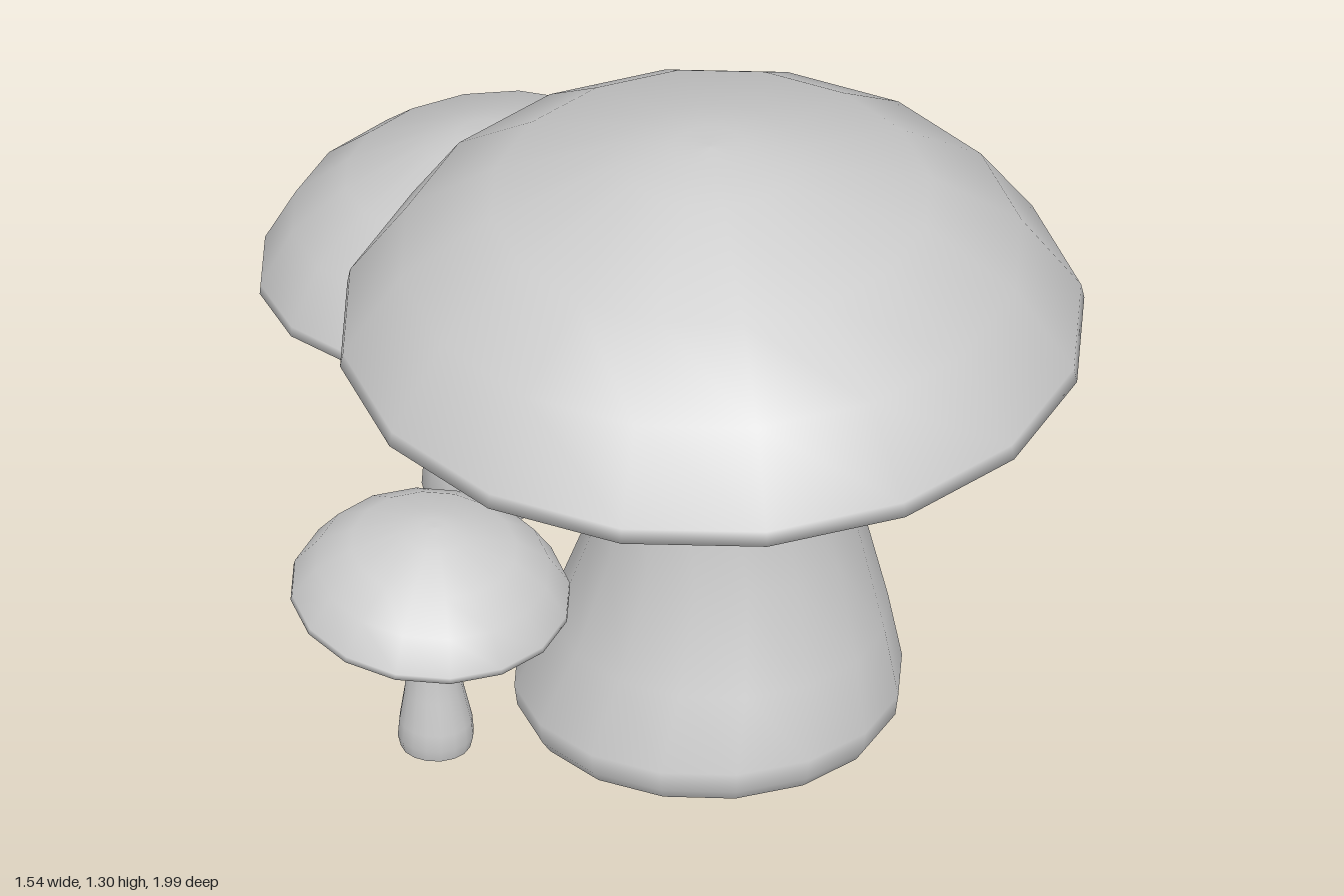
import * as THREE from 'three';

const SIDES = 16;

// Cap profile for a cap of radius 1, from the underside centre over the rim to the crown
const CAP = [
  [0, -0.125], [0.4, -0.115], [0.66, -0.1], [0.81, -0.076], [0.93, -0.042], [1, 0],
  [0.992, 0.042], [0.835, 0.27], [0.59, 0.44], [0.24, 0.572], [0.1, 0.598], [0, 0.604],
];

// Each stem ring is [height, radius, centre x, centre z];
// slopeX and slopeZ tell how much the cap's rim rises along x and z
const MUSHROOMS = [
  {
    name: 'largeMushroom', cap: [-0.03, 0.855, 0.25], radius: 0.745, slopeX: 0.04, slopeZ: -0.018,
    stem: [
      [0, 0.365, -0.05, 0.255], [0.025, 0.382, -0.05, 0.255], [0.07, 0.388, -0.05, 0.255],
      [0.2, 0.335, -0.015, 0.26], [0.38, 0.272, 0.022, 0.25],
      [0.6, 0.235, 0.005, 0.237], [0.8, 0.235, -0.028, 0.25],
    ],
  },
  {
    name: 'mediumMushroom', cap: [0.295, 0.57, -0.525], radius: 0.475, slopeX: 0.035, slopeZ: 0.105,
    stem: [
      [0, 0.118, 0.287, -0.545], [0.04, 0.127, 0.287, -0.545], [0.1, 0.123, 0.287, -0.545],
      [0.2, 0.106, 0.288, -0.543], [0.33, 0.085, 0.292, -0.545], [0.55, 0.074, 0.295, -0.545],
    ],
  },
  {
    name: 'smallMushroom', cap: [-0.495, 0.346, -0.1], radius: 0.28, slopeX: 0.07, slopeZ: -0.12,
    stem: [
      [0, 0.07, -0.497, -0.085], [0.025, 0.076, -0.497, -0.085], [0.06, 0.073, -0.497, -0.085],
      [0.13, 0.06, -0.502, -0.085], [0.2, 0.05, -0.505, -0.088], [0.33, 0.046, -0.505, -0.09],
    ],
  },
  {
    name: 'tinyMushroom', cap: [-0.267, 0.226, -0.3], radius: 0.155, slopeX: 0.03, slopeZ: 0.08,
    stem: [
      [0, 0.039, -0.267, -0.31], [0.015, 0.043, -0.267, -0.31], [0.035, 0.041, -0.267, -0.31],
      [0.07, 0.033, -0.267, -0.31], [0.11, 0.025, -0.267, -0.312], [0.215, 0.023, -0.267, -0.312],
    ],
  },
];

const material = new THREE.MeshStandardMaterial({ color: 0xcccccc });

function addMesh(group, name, geometry) {
  const mesh = new THREE.Mesh(geometry, material);
  mesh.name = name;
  group.add(mesh);
  return mesh;
}

// Lathed stem whose rings are slid sideways to give it a bent shape
function stemGeometry(rings) {
  const geometry = new THREE.LatheGeometry(rings.map(([y, r]) => new THREE.Vector2(r, y)), SIDES);
  const pos = geometry.attributes.position;
  for (let i = 0; i < pos.count; i++) {
    const [, , cx, cz] = rings[i % rings.length];
    pos.setX(i, pos.getX(i) + cx);
    pos.setZ(i, pos.getZ(i) + cz);
  }
  return geometry;
}

function createMushroom({ name, cap, radius, slopeX, slopeZ, stem }) {
  const group = new THREE.Group();
  group.name = name;

  // Stem with a flat foot
  addMesh(group, 'stem', stemGeometry(stem));
  const [, footRadius, fx, fz] = stem[0];
  const foot = new THREE.CircleGeometry(footRadius, SIDES).rotateX(Math.PI / 2);
  addMesh(group, 'stemFoot', foot.translate(fx, 0, fz));

  // Tilted domed cap with a closed underside
  const profile = CAP.map(([r, y]) => new THREE.Vector2(r * radius, y * radius));
  const capMesh = addMesh(group, 'cap', new THREE.LatheGeometry(profile, SIDES));
  capMesh.position.set(...cap);
  capMesh.rotation.set(-slopeZ, 0, slopeX);
  return group;
}

export function createModel() {
  const model = new THREE.Group();
  model.name = 'mushroomCluster';
  MUSHROOMS.forEach((m) => model.add(createMushroom(m)));
  return model;
}
